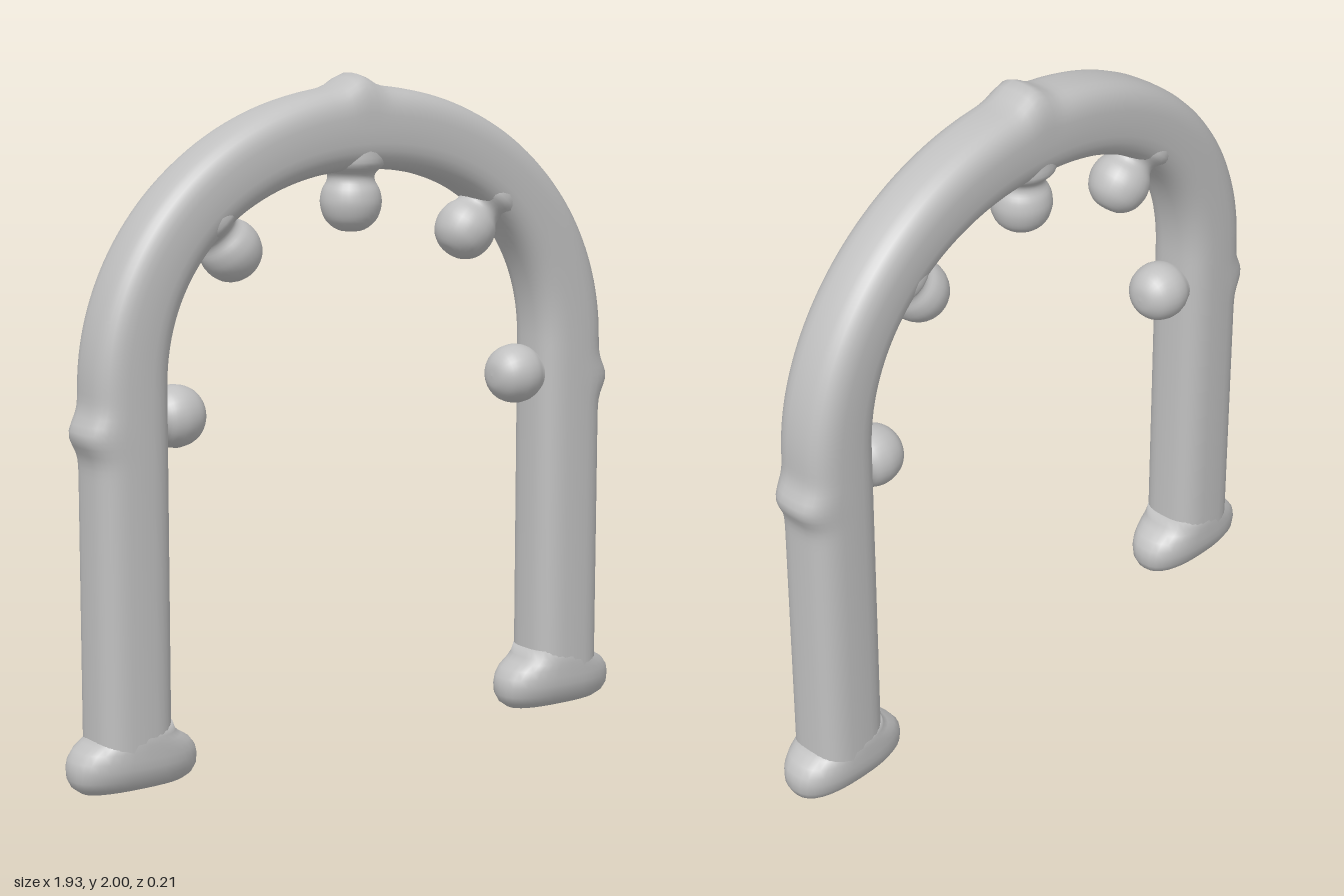
import * as THREE from 'three';

const SIDES = 32;

// Skin a row of stations {x, y, nx, ny, out, inn, z, e}: rounded sections, capped at both ends
function loft(stations) {
  const pos = [], idx = [];
  const pw = (v, e) => Math.sign(v) * Math.pow(Math.abs(v), 2 / e);
  for (const s of stations) {
    for (let j = 0; j < SIDES; j++) {
      const a = (j / SIDES) * Math.PI * 2;
      const c = pw(Math.cos(a), s.e);
      const r = c * (c > 0 ? s.out : s.inn);
      pos.push(s.x + s.nx * r, s.y + s.ny * r, s.z * pw(Math.sin(a), s.e));
    }
  }
  const last = stations.length - 1;
  for (let i = 0; i < last; i++) {
    for (let j = 0; j < SIDES; j++) {
      const k = (j + 1) % SIDES;
      const a = i * SIDES + j, b = i * SIDES + k;
      idx.push(a, b, a + SIDES, b, b + SIDES, a + SIDES);
    }
  }
  const c0 = pos.length / 3;
  for (const s of [stations[0], stations[last]]) pos.push(s.x, s.y, 0);
  for (let j = 0; j < SIDES; j++) {
    const k = (j + 1) % SIDES;
    idx.push(c0, k, j, c0 + 1, last * SIDES + j, last * SIDES + k);
  }
  const g = new THREE.BufferGeometry();
  g.setAttribute('position', new THREE.Float32BufferAttribute(pos, 3));
  g.setIndex(idx);
  g.computeVertexNormals();
  return g;
}

// Leg, half arch, then the mirrored half; small ridges swell the outer side
function archStations() {
  const half = [];
  const spring = 1.15;
  for (let i = 0; i <= 50; i++) {
    const y = 0.1 + (i / 50) * (spring - 0.1);
    const ridge = 0.033 * Math.exp(-(((y - 1.035) / 0.05) ** 2));
    half.push({ x: -0.7785, y, nx: -1, ny: 0, out: 0.1185 + ridge, inn: 0.1185, z: 0.105, e: 2.9 });
  }
  const n = 48;
  for (let i = 1; i <= n; i++) {
    const t = (i / n) * Math.PI / 2;
    const c = Math.max(0, Math.cos(t)), s = Math.sin(t);
    const ox = -0.897 * c, oy = spring + 0.813 * s;
    const ix = -0.66 * Math.pow(c, 0.92), iy = spring + 0.57 * Math.pow(s, 0.92);
    const len = Math.hypot(ox - ix, oy - iy);
    const ridge = 0.037 * Math.exp(-((ox / 0.05) ** 2));
    half.push({
      x: (ox + ix) / 2, y: (oy + iy) / 2, nx: (ox - ix) / len, ny: (oy - iy) / len,
      out: len / 2 + ridge, inn: len / 2, z: 0.105, e: 2.9,
    });
  }
  const mirrored = half.slice(0, -1).reverse().map((s) => ({ ...s, x: -s.x, nx: -s.nx }));
  return [...half, ...mirrored];
}

// Rounded foot: [height, half width, half depth]
function footGeometry() {
  const rows = [
    [0, 0.13, 0.035], [0.008, 0.165, 0.06], [0.025, 0.188, 0.083], [0.05, 0.2, 0.099],
    [0.08, 0.201, 0.105], [0.105, 0.195, 0.106], [0.13, 0.175, 0.106],
    [0.148, 0.145, 0.106], [0.165, 0.125, 0.105], [0.19, 0.116, 0.1],
  ];
  return loft(rows.map(([y, w, z]) => ({ x: 0, y, nx: -1, ny: 0, out: w, inn: w, z, e: 2.5 })));
}

// Ball on a flared neck, hanging down from its origin
function pendantGeometry() {
  const profile = new THREE.SplineCurve([
    [0, -0.18], [0.04, -0.174], [0.075, -0.145], [0.09, -0.1], [0.085, -0.06],
    [0.07, -0.03], [0.073, -0.008], [0.1, 0.02], [0.1, 0.06],
  ].map(([x, y]) => new THREE.Vector2(x, y)));
  const pts = profile.getPoints(30);
  pts.forEach((p) => { p.x = Math.max(0, p.x); });
  return new THREE.LatheGeometry(pts, 28);
}

export function createModel() {
  const group = new THREE.Group();
  const stone = new THREE.MeshStandardMaterial({ color: 0xc0c0c0 });
  stone.name = 'pale grey stone';

  const add = (geometry, name, x, y, turn = 0) => {
    const mesh = new THREE.Mesh(geometry, stone);
    mesh.name = name;
    mesh.position.set(x - 0.006, y, 0);
    mesh.rotation.z = turn;
    group.add(mesh);
  };

  add(loft(archStations()), 'arch', 0, 0);

  const foot = footGeometry();
  const pendant = pendantGeometry();
  add(pendant, 'topPendant', 0, 1.72);
  for (const [side, word] of [[1, 'left'], [-1, 'right']]) {
    add(foot, word + 'Foot', side * 0.765, 0);
    add(pendant, word + 'UpperPendant', side * 0.477, 1.587, -side * 0.71);
    add(pendant, word + 'SidePendant', side * 0.702, 1.06, -side * Math.PI / 2);
  }
  return group;
}
